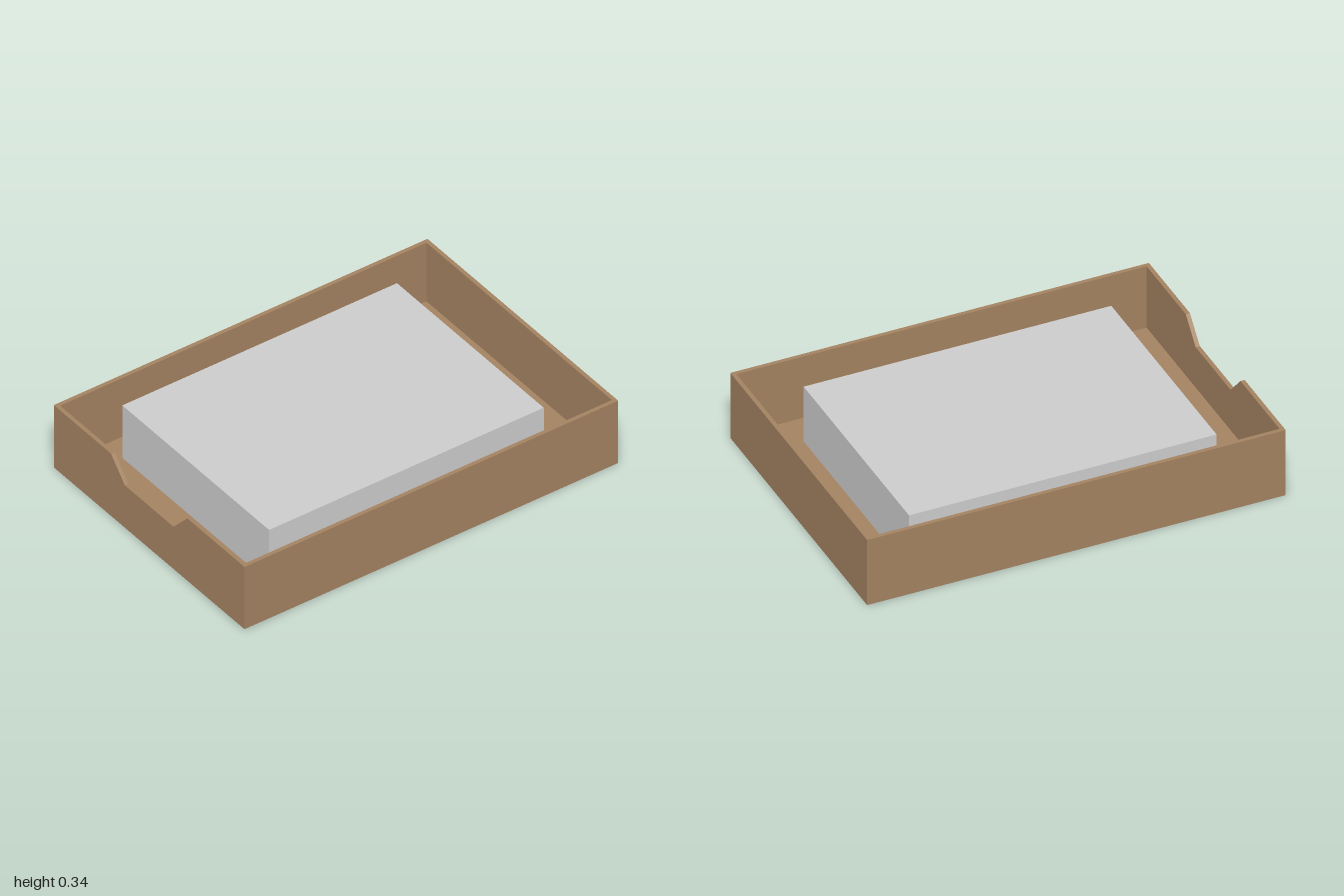
import * as THREE from 'three';

const W = 1.41, H = 0.342, D = 2, T = 0.02; // outer size and board thickness

export function createModel() {
  const model = new THREE.Group();
  model.name = 'paperTray';
  const cardboard = new THREE.MeshStandardMaterial({ color: 0xa38261 });
  cardboard.name = 'brown cardboard';
  const paper = new THREE.MeshStandardMaterial({ color: 0xcccccc });
  paper.name = 'light grey paper';

  const addBox = (name, size, position, material) => {
    const mesh = new THREE.Mesh(new THREE.BoxGeometry(...size), material);
    mesh.name = name;
    mesh.position.set(...position);
    model.add(mesh);
  };

  // Floor, fitted between the walls
  addBox('floor', [W - 2 * T, T, D - 2 * T], [0, T / 2, 0], cardboard);

  // Side and back walls
  for (const [name, side] of [['leftWall', 1], ['rightWall', -1]]) {
    addBox(name, [T, H, D - 2 * T], [side * (W - T) / 2, H / 2, 0], cardboard);
  }
  addBox('backWall', [W, H, T], [0, H / 2, -(D - T) / 2], cardboard);

  // Front wall with a sloped hand notch in its top edge
  const outline = new THREE.Shape([
    [-W / 2, 0], [W / 2, 0], [W / 2, H], [0.282, H],
    [0.18, 0.232], [-0.18, 0.232], [-0.282, H], [-W / 2, H],
  ].map(([x, y]) => new THREE.Vector2(x, y)));
  const frontWall = new THREE.Mesh(
    new THREE.ExtrudeGeometry(outline, { depth: T, bevelEnabled: false }), cardboard);
  frontWall.name = 'frontWall';
  frontWall.position.z = D / 2 - T;
  model.add(frontWall);

  // Stack of sheets, lying slightly off centre on the floor
  const stackTop = 0.308;
  addBox('paperStack', [1.085, stackTop - T, 1.47], [-0.022, (stackTop + T) / 2, 0], paper);

  return model;
}
